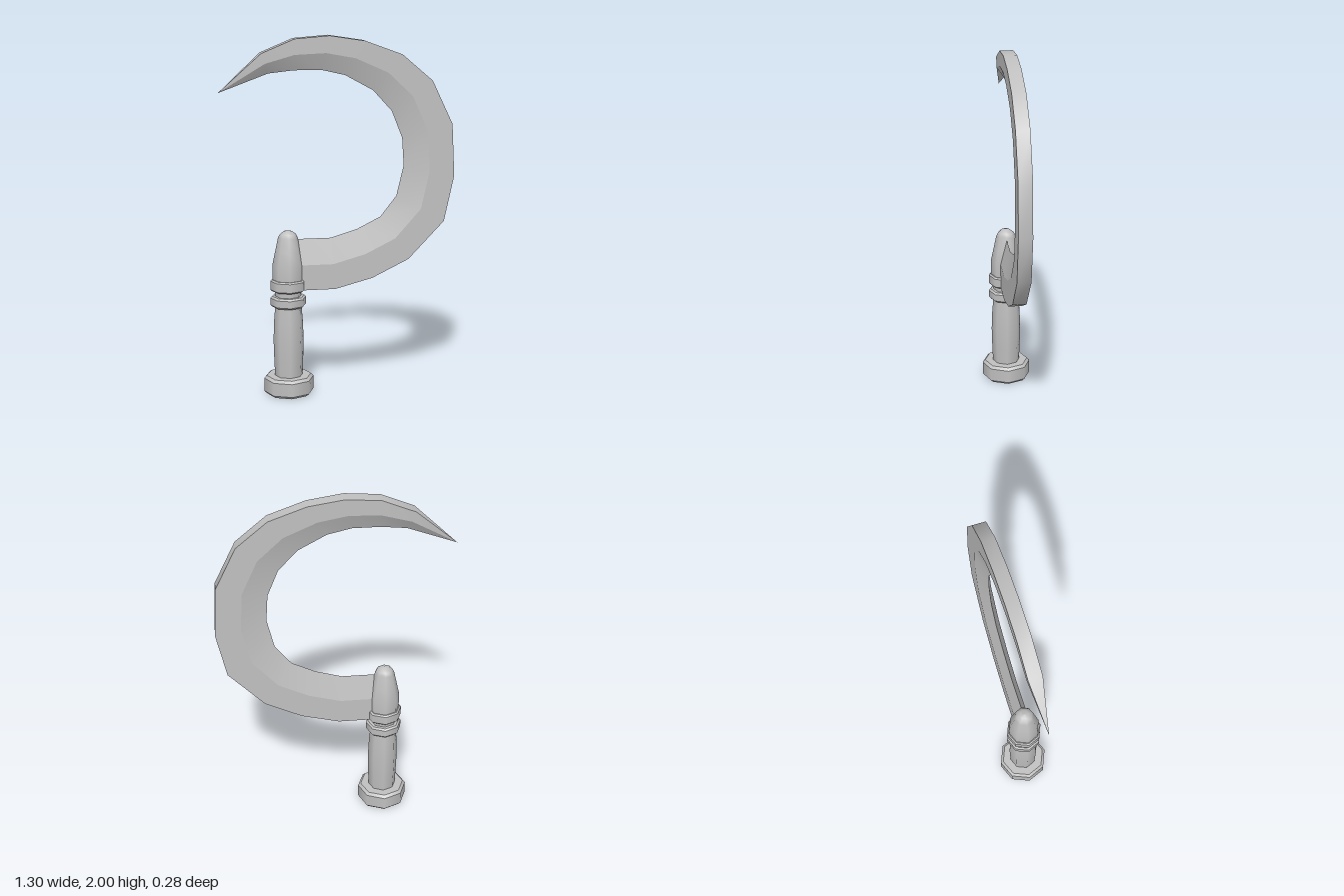
import * as THREE from 'three';
import { mergeGeometries } from 'three/addons/utils/BufferGeometryUtils.js';

const SIDES = 8;
const HANDLE_X = -0.28;
const HALF_THICKNESS = 0.0375;

// Outer spine and inner cutting edge of the blade, from the handle to the tip
const OUTER = [
  [-0.28, 0.6], [-0.02, 0.6], [0.19, 0.655], [0.395, 0.755], [0.595, 0.965], [0.65, 1.22], [0.635, 1.51],
  [0.52, 1.75], [0.35, 1.895], [0.145, 1.97], [-0.05, 2], [-0.24, 1.985], [-0.42, 1.91], [-0.65, 1.7],
];
const INNER = [
  [-0.28, 0.885], [-0.04, 0.885], [0.11, 0.93], [0.24, 0.995], [0.33, 1.11], [0.37, 1.28], [0.36, 1.435],
  [0.3, 1.585], [0.195, 1.7], [0.04, 1.785], [-0.09, 1.815], [-0.24, 1.815], [-0.38, 1.8], [-0.65, 1.7],
];

// Turned shape with a smooth profile
function turned(profile) {
  return new THREE.LatheGeometry(profile.map(([r, y]) => new THREE.Vector2(r, y)), SIDES);
}

// Turned shape with a sharp edge at every profile point
function turnedSharp(profile) {
  return mergeGeometries(profile.slice(1).map((p, i) => turned([profile[i], p])));
}

// Ring with chamfered rims
function ring(y0, y1, r, chamfer) {
  return turnedSharp([
    [0, y0], [r - chamfer, y0], [r, y0 + chamfer], [r, y1 - chamfer], [r - chamfer, y1], [0, y1],
  ]);
}

// Flat-backed blade: full thickness from spine to ridge, then bevelled to the edge
function bladeGeometry() {
  const last = OUTER.length - 1;
  const sections = OUTER.map(([ox, oy], j) => {
    const [ix, iy] = INNER[j];
    const mx = (ox + ix) / 2, my = (oy + iy) / 2;
    const t = j === last ? 0 : HALF_THICKNESS;
    return [[ox, oy, t], [mx, my, t], [ix, iy, 0], [mx, my, -t], [ox, oy, -t], [ox, oy, t]];
  });
  const strips = [];
  for (let k = 0; k < 5; k++) {
    const positions = [], index = [];
    sections.forEach((s, j) => {
      positions.push(...s[k], ...s[k + 1]);
      if (j === last) return;
      const a = j * 2;
      index.push(a, a + 2, a + 1);
      if (j < last - 1) index.push(a + 2, a + 3, a + 1);
    });
    const strip = new THREE.BufferGeometry();
    strip.setAttribute('position', new THREE.Float32BufferAttribute(positions, 3));
    strip.setIndex(index);
    strip.computeVertexNormals();
    strips.push(strip);
  }
  return mergeGeometries(strips);
}

export function createModel() {
  const model = new THREE.Group();
  model.name = 'sickle';
  const steel = new THREE.MeshStandardMaterial({ color: 0xc0c0c0 });
  steel.name = 'steel grey';

  const add = (name, geometry, parent) => {
    const mesh = new THREE.Mesh(geometry, steel);
    mesh.name = name;
    parent.add(mesh);
  };

  const handle = new THREE.Group();
  handle.name = 'handle';
  handle.position.x = HANDLE_X;
  model.add(handle);

  add('pommel', ring(0, 0.105, 0.14, 0.015), handle);
  add('grip', turned([[0.078, 0.1], [0.082, 0.2], [0.085, 0.31], [0.081, 0.42], [0.073, 0.515]]), handle);
  add('lowerCollar', ring(0.505, 0.565, 0.1, 0.01), handle);
  add('neck', turned([[0.073, 0.56], [0.073, 0.6]]), handle);
  add('upperCollar', ring(0.595, 0.66, 0.1, 0.008), handle);
  add('ferrule', turned([
    [0.087, 0.655], [0.087, 0.745], [0.071, 0.82], [0.055, 0.895], [0.045, 0.915], [0.025, 0.93], [0, 0.935],
  ]), handle);

  add('blade', bladeGeometry(), model);
  return model;
}
